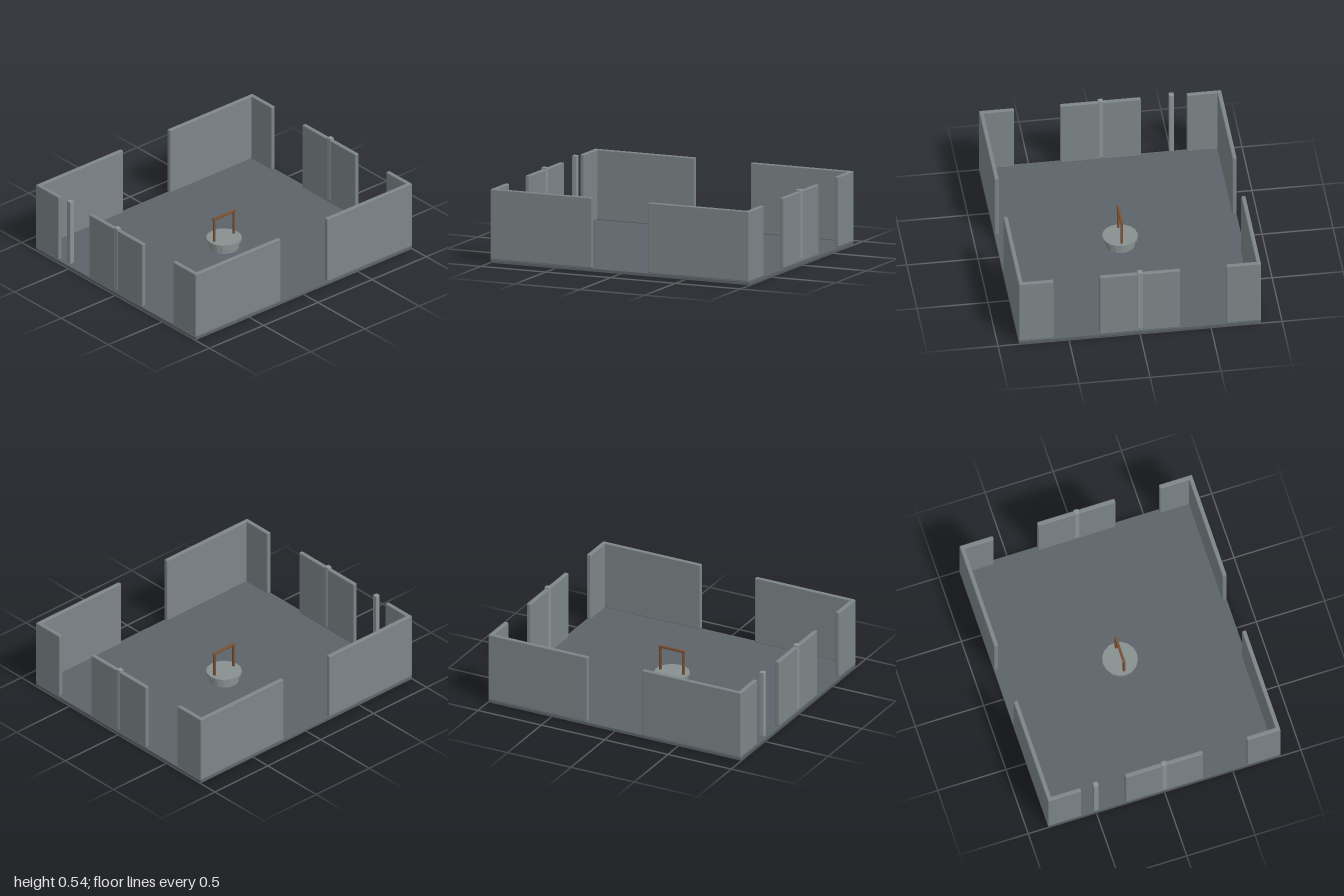
import * as THREE from 'three';
import { RoundedBoxGeometry } from 'three/addons/geometries/RoundedBoxGeometry.js';

const paint = (color) => new THREE.MeshStandardMaterial({ color });
const stone = paint(0x7d8588);
const floorStone = paint(0x5c646a);
const postStone = paint(0x8c9294);
const rimStone = paint(0x879090);
rimStone.flatShading = true;
const wood = paint(0x7a5236);

export function createModel() {
  const model = new THREE.Group();

  // Block given by its minimum and maximum corners, with softened edges
  const block = (name, material, [x0, y0, z0], [x1, y1, z1], radius, parent = model) => {
    const geometry = new RoundedBoxGeometry(x1 - x0, y1 - y0, z1 - z0, 2, radius);
    const mesh = new THREE.Mesh(geometry, material);
    mesh.position.set((x0 + x1) / 2, (y0 + y1) / 2, (z0 + z1) / 2);
    mesh.name = name;
    parent.add(mesh);
  };

  // Courtyard floor
  block('floor', floorStone, [-0.998, 0, -0.853], [0.998, 0.024, 0.853], 0.003);

  // Front and back walls, each with a gateway in the middle
  const bottom = 0.024, top = 0.524;
  for (const [name, z0, z1] of [['frontWall', 0.822, 0.853], ['backWall', -0.853, -0.822]]) {
    block(name + 'Left', stone, [0.215, bottom, z0], [0.998, top, z1], 0.008);
    block(name + 'Right', stone, [-0.998, bottom, z0], [-0.215, top, z1], 0.008);
  }

  // Side walls in three sections, with a post at the middle of each
  for (const [name, x0, x1] of [['left', 0.966, 0.998], ['right', -0.998, -0.966]]) {
    const sections = [['Front', 0.608, 0.853], ['Middle', -0.284, 0.284], ['Back', -0.853, -0.608]];
    for (const [part, z0, z1] of sections) {
      block(name + 'Wall' + part, stone, [x0, bottom, z0], [x1, top, z1], 0.008);
    }
    const x = Math.sign(x0) * 0.982;
    block(name + 'Post', postStone, [x - 0.018, 0.042, -0.018], [x + 0.018, 0.537, 0.018], 0.005);
  }

  // Free-standing post in the right rear opening
  block('loosePost', postStone, [-1, 0.042, -0.518], [-0.964, 0.537, -0.482], 0.005);

  // Well: drum, overhanging lid and wooden frame
  const well = new THREE.Group();
  well.name = 'well';
  model.add(well);
  const disc = (name, radius, y0, y1) => {
    const mesh = new THREE.Mesh(new THREE.CylinderGeometry(radius, radius, y1 - y0, 16), rimStone);
    mesh.position.y = (y0 + y1) / 2;
    mesh.name = name;
    well.add(mesh);
  };
  disc('wellDrum', 0.106, 0.02, 0.082);
  disc('wellRim', 0.125, 0.08, 0.1);
  for (const [name, x] of [['frameLeft', 0.09], ['frameRight', -0.09]]) {
    block(name, wood, [x - 0.008, 0.095, -0.008], [x + 0.008, 0.272, 0.008], 0.003, well);
  }
  block('frameBeam', wood, [-0.103, 0.267, -0.009], [0.103, 0.285, 0.009], 0.004, well);

  return model;
}
